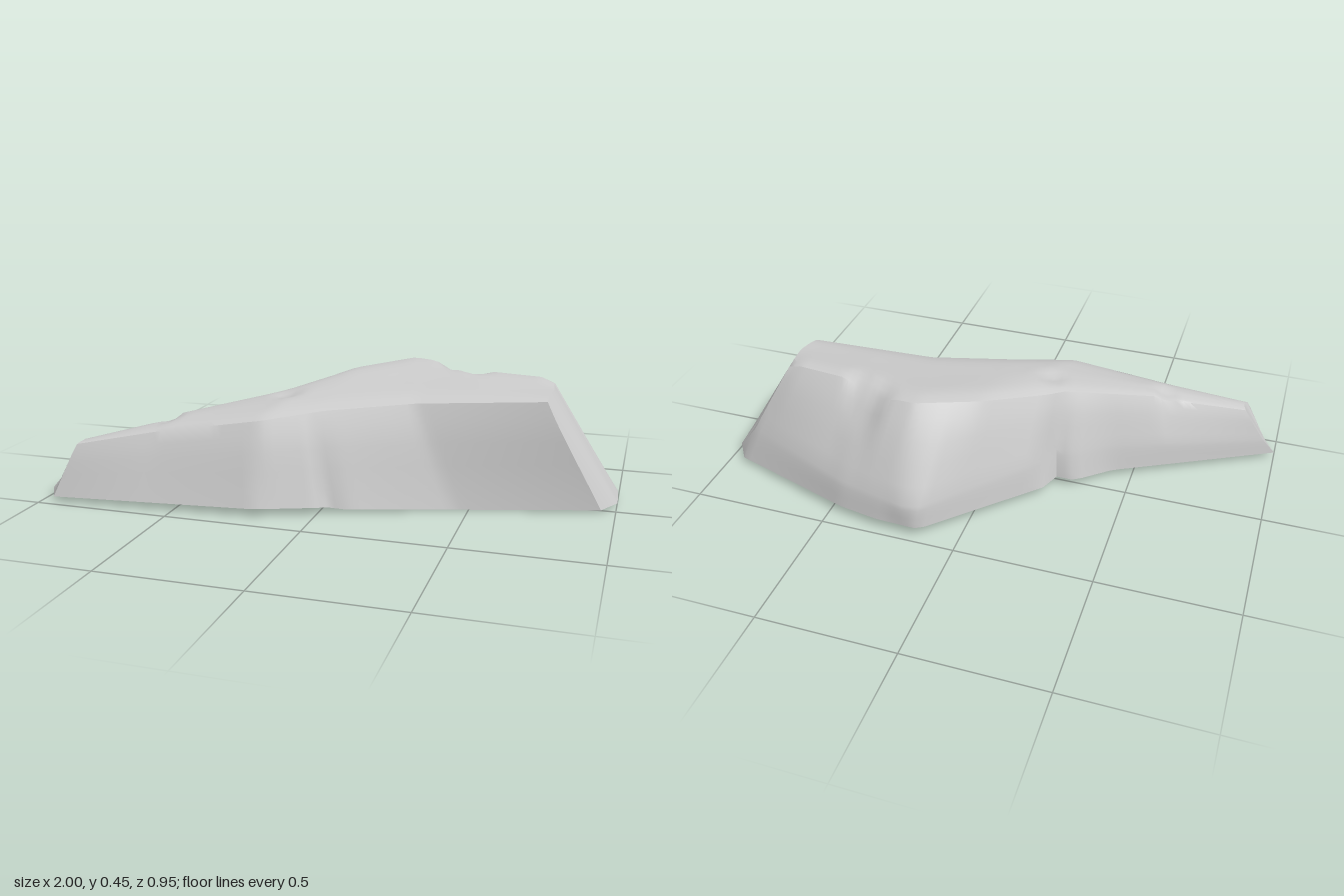
import * as THREE from 'three';
import { toCreasedNormals } from 'three/addons/utils/BufferGeometryUtils.js';

// Contour lines running along the rock, each point [x, y, z], listed front to back
const frontBase = [[-0.95, 0.02, 0.475], [-0.2, 0.03, 0.42], [0, 0.025, 0.33], [0.03, 0.02, 0.3], [0.1, 0.015, 0.29],
  [0.45, 0, 0.14], [0.95, 0.01, 0.025]];
const frontRim = [[-0.87, 0.21, 0.425], [-0.58, 0.265, 0.37], [-0.2, 0.325, 0.335], [0, 0.35, 0.23],
  [0.3, 0.37, 0.115], [0.75, 0.395, 0.06]];
const topMiddle = [[-0.86, 0.218, 0.395], [-0.58, 0.285, 0.3], [-0.55, 0.3, 0.29], [-0.2, 0.365, 0.18], [-0.16, 0.378, 0.15],
  [0, 0.4, 0.03], [0.2, 0.415, -0.07], [0.5, 0.42, -0.07], [0.76, 0.415, -0.05]];
const backRim = [[-0.87, 0.212, 0.365], [-0.57, 0.28, 0.24], [-0.54, 0.3, 0.22], [-0.24, 0.36, 0.06], [-0.18, 0.37, 0],
  [0, 0.42, -0.18], [0.2, 0.447, -0.3], [0.3, 0.44, -0.29], [0.45, 0.432, -0.21], [0.7, 0.428, -0.18], [0.75, 0.41, -0.17]];
const backShoulder = [[-0.95, 0.09, 0.37], [-0.42, 0.14, 0.09], [-0.3, 0.15, 0.0], [-0.22, 0.15, -0.02], [-0.18, 0.15, -0.12],
  [0.14, 0.13, -0.465], [0.2, 0.13, -0.475], [0.45, 0.14, -0.42], [0.88, 0.16, -0.25]];
const backBase = [[-1, 0.025, 0.39], [-0.43, 0.03, 0.08], [-0.31, 0.035, -0.03], [-0.24, 0.035, -0.03], [-0.22, 0.035, -0.1],
  [0.14, 0.04, -0.475], [0.3, 0.04, -0.47], [0.45, 0.035, -0.44], [0.94, 0.02, -0.27]];
const lines = [frontBase, frontRim, topMiddle, backRim, backShoulder, backBase];

// Chips in the upper surface: x, z, radius, depth
const chips = [[0.38, -0.27, 0.1, 0.035], [-0.17, 0.12, 0.06, 0.018], [-0.57, 0.28, 0.05, 0.015], [0.46, -0.2, 0.06, 0.02]];

const STATIONS = 64, ACROSS = 25;

// Point on a contour line at fraction u of its x range
function along(line, u) {
  const x = THREE.MathUtils.lerp(line[0][0], line[line.length - 1][0], u);
  let k = 0;
  while (k < line.length - 2 && x > line[k + 1][0]) k++;
  const a = new THREE.Vector3(...line[k]), b = new THREE.Vector3(...line[k + 1]);
  return a.lerp(b, (x - a.x) / (b.x - a.x));
}

// Cross-section: softened polyline through the six contour points
function section(u) {
  const pts = lines.map(line => along(line, u));
  const curve = new THREE.CatmullRomCurve3(pts, false, 'centripetal');
  return Array.from({ length: ACROSS + 1 }, (_, j) => {
    const t = j / ACROSS, s = t * (pts.length - 1), k = Math.min(Math.floor(s), pts.length - 2);
    const p = pts[k].clone().lerp(pts[k + 1], s - k).lerp(curve.getPoint(t), 0.5);
    if (p.y > 0.2) {
      for (const [x, z, r, depth] of chips) {
        p.y -= depth * Math.max(0, 1 - Math.hypot(p.x - x, p.z - z) / r);
      }
    }
    return p;
  });
}

// Foot of an end slope: the base edge between front and back, bulging outwards in x
function endFoot(row, bulge) {
  return row.map((_, j) => {
    const t = j / ACROSS;
    const p = row[0].clone().lerp(row[ACROSS], t);
    p.x += bulge * Math.min(1, 3.5 * t, 3.5 * (1 - t));
    return p;
  });
}

// Triangulate the strip between neighbouring rows
function loft(rows) {
  const positions = rows.flat().flatMap(p => [p.x, p.y, p.z]);
  const index = [], w = ACROSS + 1;
  for (let i = 0; i < rows.length - 1; i++) {
    for (let j = 0; j < ACROSS; j++) {
      const a = i * w + j, b = a + w;
      index.push(a, b, a + 1, b, b + 1, a + 1);
    }
  }
  const geometry = new THREE.BufferGeometry();
  geometry.setAttribute('position', new THREE.Float32BufferAttribute(positions, 3));
  geometry.setIndex(index);
  return toCreasedNormals(geometry, 0.7);
}

export function createModel() {
  const group = new THREE.Group();
  group.name = 'rock';
  const rows = Array.from({ length: STATIONS + 1 }, (_, i) => section(i / STATIONS));
  rows.unshift(endFoot(rows[0], 0));
  rows.push(endFoot(rows[rows.length - 1], 0.055));

  // Hollow shell, open underneath
  const shell = new THREE.Mesh(loft(rows),
    new THREE.MeshStandardMaterial({ color: 0xcccccc, side: THREE.DoubleSide }));
  shell.name = 'rockShell';
  group.add(shell);
  return group;
}
